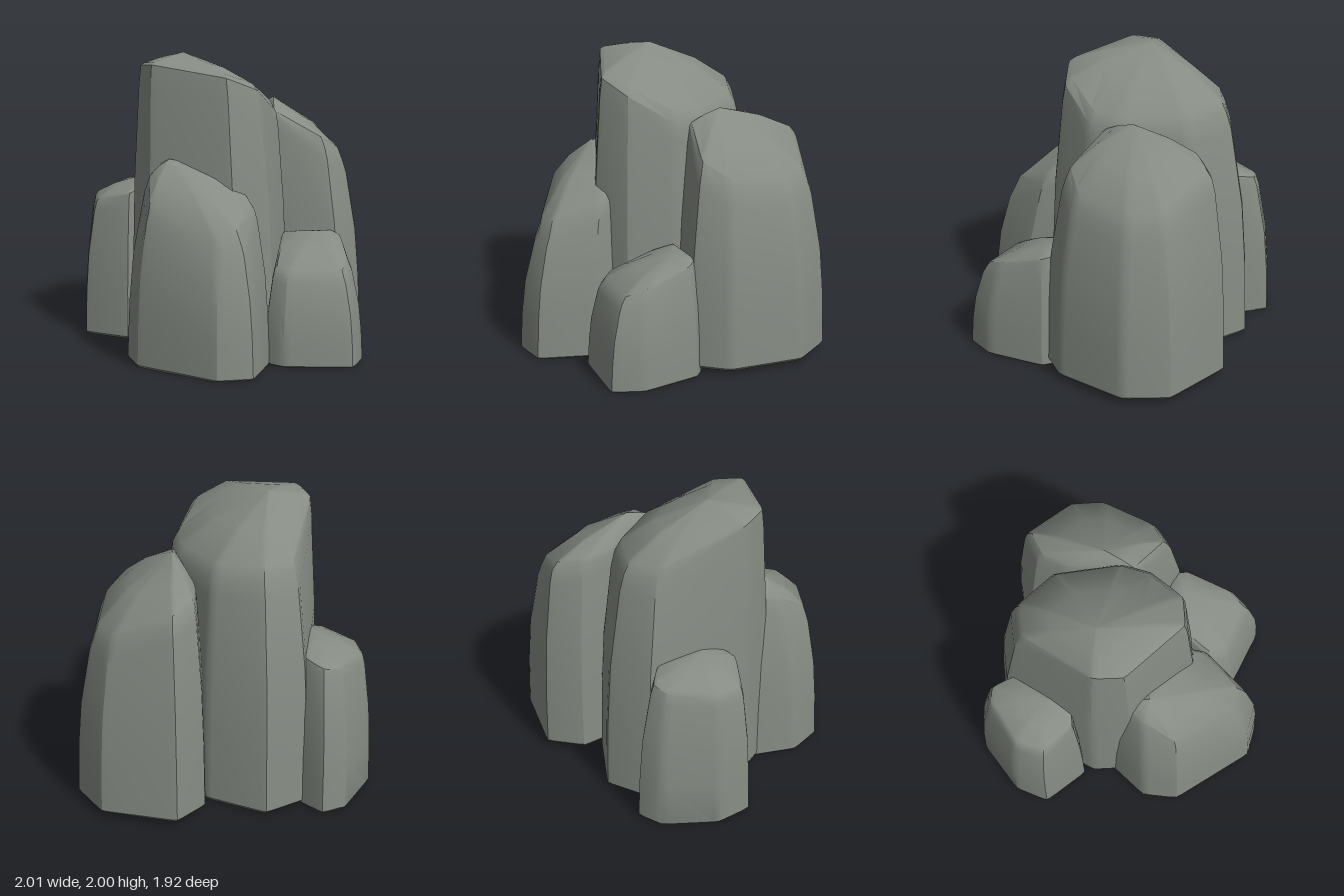
import * as THREE from 'three';
import { toCreasedNormals } from 'three/addons/utils/BufferGeometryUtils.js';

const material = new THREE.MeshStandardMaterial({ color: 0x868c84 });
const V = (x, y, z) => new THREE.Vector3(x, y, z);

// Replace every corner of a loop by three points, so vertical edges are softly worn
function roundCorners(loop, size) {
  const n = loop.length;
  return loop.flatMap((p, i) => {
    const toward = (q) => p.clone().lerp(q, Math.min(0.3, size / p.distanceTo(q)));
    const a = toward(loop[(i + n - 1) % n]);
    const b = toward(loop[(i + 1) % n]);
    const middle = a.clone().add(b).multiplyScalar(0.5).lerp(p, 0.75);
    return [a, middle, b];
  });
}

// One boulder: corners are [baseX, baseZ, rimX, rimZ, rimY], clockwise from above
function boulder(name, floor, peak, corners) {
  const base = roundCorners(corners.map(([x, z]) => V(x, floor, z)), 0.045);
  const rim = roundCorners(corners.map(([, , x, z, y]) => V(x, y, z)), 0.045);
  const n = base.length;
  const top = V(...peak);
  const centre = base.reduce((s, p) => s.add(p), V(0, 0, 0)).divideScalar(n);
  const rings = [];

  // Worn foot
  rings.push(base.map((p) => p.clone().lerp(centre, 0.03)));
  // Sides, leaning in more and more toward the rim: [height, lean]
  for (const [h, lean] of [[0.015, 0], [0.32, 0.1], [0.6, 0.3], [0.93, 0.8], [1, 1]]) {
    rings.push(base.map((p, i) => {
      const q = p.clone().lerp(rim[i], lean);
      q.y = THREE.MathUtils.lerp(p.y, rim[i].y, h);
      return q;
    }));
  }
  // Domed crown
  for (const t of [0.07, 0.45]) {
    rings.push(rim.map((p) => {
      const q = p.clone().lerp(top, t);
      q.y = THREE.MathUtils.lerp(p.y, top.y, t ** 0.6);
      return q;
    }));
  }

  const points = [];
  const tri = (...ps) => ps.forEach((p) => points.push(p));
  const last = rings[rings.length - 1];
  for (let i = 0; i < n; i++) {
    const j = (i + 1) % n;
    for (let r = 0; r < rings.length - 1; r++) {
      const [lo, hi] = [rings[r], rings[r + 1]];
      tri(lo[i], hi[i], hi[j]);
      tri(lo[i], hi[j], lo[j]);
    }
    tri(top, last[j], last[i]);
    tri(centre, rings[0][i], rings[0][j]);
  }
  const geometry = new THREE.BufferGeometry().setFromPoints(points);
  const mesh = new THREE.Mesh(toCreasedNormals(geometry, 0.5), material);
  mesh.name = name;
  return mesh;
}

export function createModel() {
  const group = new THREE.Group();
  group.name = 'rockCluster';
  group.add(
    boulder('tallCentreRock', 0.005, [-0.33, 2.0, -0.14], [
      [-0.5, -0.8, -0.42, -0.64, 1.64],
      [-0.2, -0.92, -0.2, -0.73, 1.63],
      [0.17, -0.67, 0.1, -0.56, 1.6],
      [0.36, -0.1, 0.29, -0.15, 1.58],
      [0.35, 0.1, 0.28, 0.05, 1.6],
      [0.2, 0.39, 0.1, 0.31, 1.78],
      [-0.08, 0.49, -0.12, 0.38, 1.87],
      [-0.61, 0.17, -0.58, 0.11, 1.94],
      [-0.7, -0.1, -0.63, -0.08, 1.92],
    ]),
    boulder('backLeftRock', 0.04, [0.32, 1.67, -0.27], [
      [0.15, -0.5, 0.2, -0.5, 1.5],
      [0.19, -0.81, 0.24, -0.71, 1.47],
      [0.4, -0.97, 0.4, -0.85, 1.42],
      [0.88, -0.77, 0.78, -0.67, 1.2],
      [1.01, -0.48, 0.87, -0.45, 1.17],
      [0.89, 0.02, 0.77, -0.05, 1.24],
      [0.69, 0.21, 0.61, 0.08, 1.36],
      [0.28, 0.05, 0.28, -0.05, 1.58],
    ]),
    boulder('backRightRock', 0, [-0.62, 1.1, -0.45], [
      [-1.01, -0.36, -0.92, -0.36, 0.94],
      [-0.98, -0.6, -0.91, -0.56, 0.96],
      [-0.74, -0.91, -0.69, -0.8, 1.0],
      [-0.57, -0.96, -0.58, -0.82, 1.02],
      [-0.42, -0.75, -0.48, -0.7, 1.05],
      [-0.45, -0.3, -0.5, -0.3, 1.09],
      [-0.73, -0.15, -0.7, -0.22, 1.02],
    ]),
    boulder('frontRightRock', 0, [-0.48, 1.33, 0.25], [
      [-0.62, 0.0, -0.52, 0.05, 1.25],
      [0.0, 0.1, -0.03, 0.2, 1.16],
      [0.13, 0.62, 0.05, 0.5, 1.02],
      [-0.04, 0.96, -0.09, 0.82, 0.84],
      [-0.28, 0.96, -0.25, 0.82, 0.82],
      [-0.74, 0.54, -0.65, 0.48, 1.02],
      [-0.78, 0.3, -0.62, 0.25, 1.2],
    ]),
    boulder('frontLeftRock', 0, [0.52, 0.81, 0.25], [
      [0.3, 0.05, 0.32, 0.1, 0.78],
      [0.7, 0.12, 0.65, 0.15, 0.79],
      [0.77, 0.2, 0.69, 0.22, 0.77],
      [0.76, 0.61, 0.68, 0.55, 0.64],
      [0.65, 0.8, 0.61, 0.69, 0.58],
      [0.2, 0.71, 0.24, 0.63, 0.58],
      [0.1, 0.6, 0.17, 0.53, 0.6],
      [0.2, 0.3, 0.27, 0.25, 0.74],
    ]),
  );
  return group;
}
